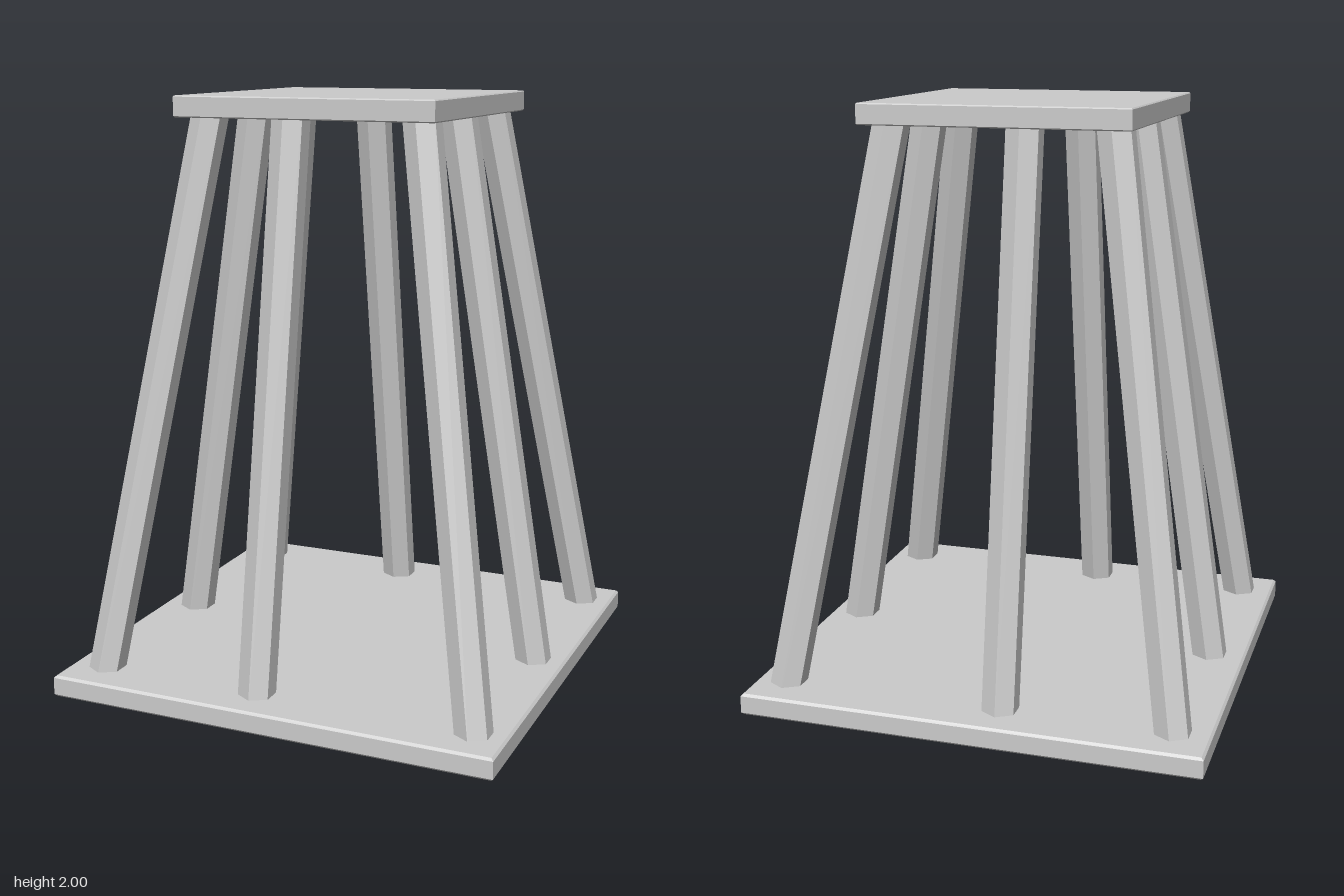
import * as THREE from 'three';

const material = new THREE.MeshStandardMaterial({ color: 0xcccccc, flatShading: true, side: THREE.DoubleSide });

// Square slab, hollow underneath, with small bevels along its edges
function makeSlab(name, half, y, height, bevel) {
  const profile = [
    [half - bevel, 0], [half, bevel], [half, height - bevel], [half - bevel, height], [0, height],
  ].map(([r, h]) => new THREE.Vector2(r * Math.SQRT2, h));
  const geometry = new THREE.LatheGeometry(profile, 4, Math.PI / 4);
  const mesh = new THREE.Mesh(geometry, material);
  mesh.name = name;
  mesh.position.y = y;
  return mesh;
}

// Hexagonal leg with level ends, sheared from its foot to its head
function makeLeg(name, foot, head) {
  const geometry = new THREE.CylinderGeometry(0.063, 0.063, head.y - foot.y, 6);
  const position = geometry.attributes.position;
  const centre = new THREE.Vector3();
  for (let i = 0; i < position.count; i++) {
    centre.lerpVectors(foot, head, position.getY(i) > 0 ? 1 : 0);
    position.setXYZ(i, position.getX(i) + centre.x, centre.y, position.getZ(i) + centre.z);
  }
  geometry.computeVertexNormals();
  const mesh = new THREE.Mesh(geometry, material);
  mesh.name = name;
  return mesh;
}

export function createModel() {
  const group = new THREE.Group();
  group.name = 'stand';
  group.add(makeSlab('basePlate', 0.78, 0, 0.075, 0.008));
  group.add(makeSlab('topPlate', 0.45, 1.93, 0.07, 0.004));

  // Foot and head offsets of the legs along each axis
  const columns = [
    { name: 'Right', foot: -0.665, head: -0.369 },
    { name: 'Middle', foot: -0.083, head: -0.083 },
    { name: 'Left', foot: 0.68, head: 0.358 },
  ];
  const rows = [
    { name: 'back', foot: -0.645, head: -0.345 },
    { name: 'side', foot: 0, head: 0 },
    { name: 'front', foot: 0.647, head: 0.328 },
  ];
  for (const row of rows) {
    for (const column of columns) {
      // The middle of the stand stays open
      if (row.name === 'side' && column.name === 'Middle') continue;
      group.add(makeLeg(
        `${row.name}${column.name}Leg`,
        new THREE.Vector3(column.foot, 0.01, row.foot),
        new THREE.Vector3(column.head, 1.985, row.head),
      ));
    }
  }
  return group;
}
